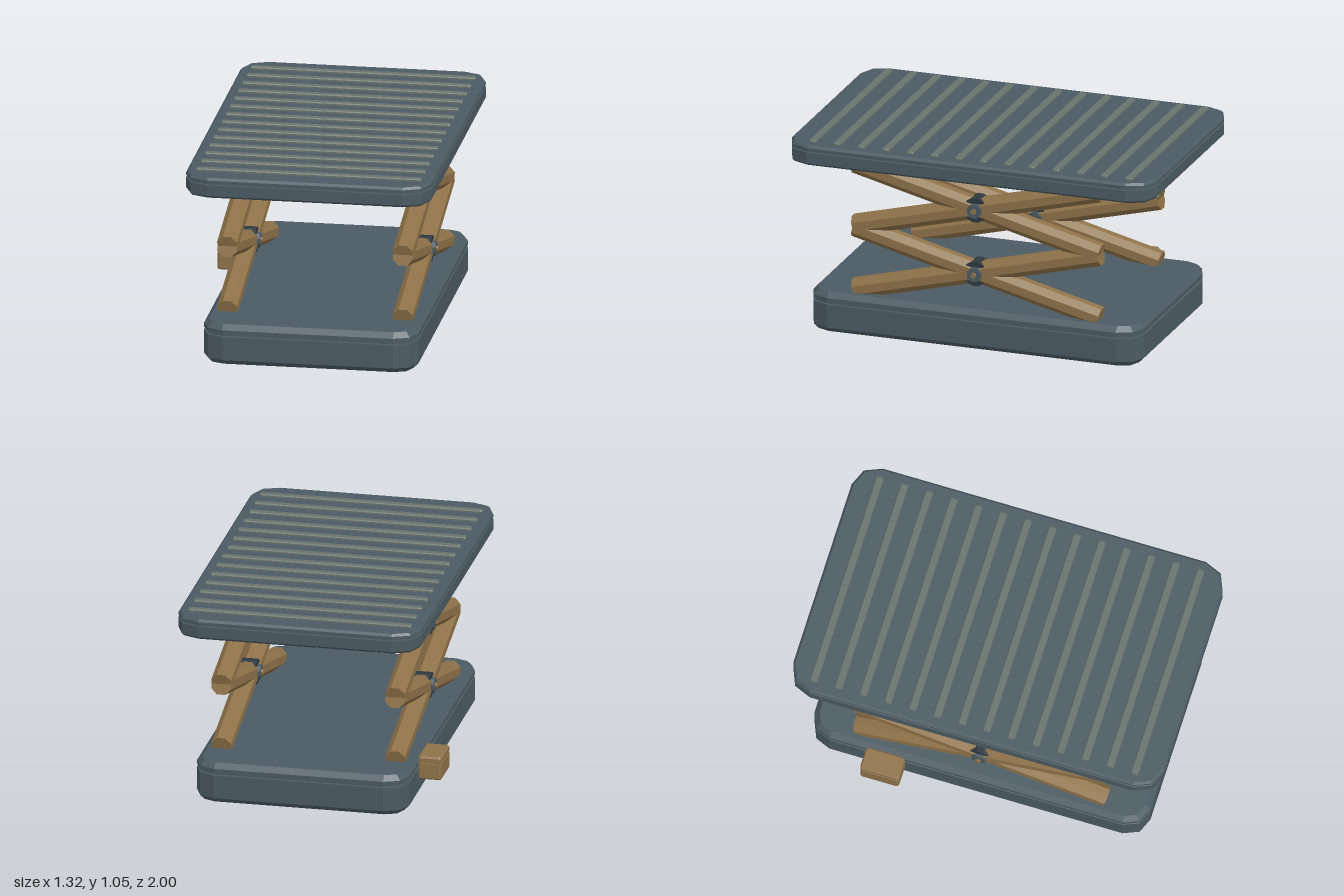
import * as THREE from 'three';

const slate = new THREE.MeshStandardMaterial({ color: 0x4b5b63 });
slate.name = 'slate metal';
const dark = new THREE.MeshStandardMaterial({ color: 0x2c383f });
dark.name = 'dark metal';
const brass = new THREE.MeshStandardMaterial({ color: 0x8f7349 });
brass.name = 'brass';
const grip = new THREE.MeshStandardMaterial({ color: 0x68736d });
grip.name = 'grip strip';

// Faceted normals for low-poly parts
function faceted(geometry) {
  const g = geometry.index ? geometry.toNonIndexed() : geometry;
  g.computeVertexNormals();
  return g;
}

// Slab with cut corners; levels are [height, inset] from bottom to top
function slabGeometry(halfX, halfZ, radius, levels) {
  const pos = [], index = [], n = 12;
  for (const [y, inset] of levels) {
    const r = radius - inset;
    for (let q = 0; q < 4; q++) {
      const sx = q === 0 || q === 3 ? 1 : -1, sz = q < 2 ? 1 : -1;
      for (let k = 0; k < 3; k++) {
        const a = q * Math.PI / 2 + k * Math.PI / 4;
        pos.push(sx * (halfX - radius) + r * Math.cos(a), y, sz * (halfZ - radius) + r * Math.sin(a));
      }
    }
  }
  for (let l = 0; l < levels.length - 1; l++) {
    for (let i = 0; i < n; i++) {
      const a = l * n + i, b = l * n + (i + 1) % n;
      index.push(a, a + n, b + n, a, b + n, b);
    }
  }
  const top = (levels.length - 1) * n;
  for (let i = 1; i < n - 1; i++) {
    index.push(0, i, i + 1, top, top + i + 1, top + i);
  }
  const g = new THREE.BufferGeometry();
  g.setAttribute('position', new THREE.Float32BufferAttribute(pos, 3));
  g.setIndex(index);
  return faceted(g);
}

export function createModel() {
  const model = new THREE.Group();
  model.name = 'scissorLift';
  const midX = 0.02;

  function add(name, geometry, material, x = 0, y = 0, z = 0, parent = model) {
    const mesh = new THREE.Mesh(geometry, material);
    mesh.name = name;
    mesh.position.set(x, y, z);
    parent.add(mesh);
    return mesh;
  }

  // Base with a groove under its rim
  add('base', slabGeometry(0.56, 0.905, 0.115, [
    [0, 0.027], [0.027, 0], [0.153, 0], [0.155, 0.012],
    [0.165, 0.012], [0.167, 0], [0.188, 0], [0.215, 0.028],
  ]), slate, midX);

  // Platform with a groove under its rim
  add('platform', slabGeometry(0.64, 1, 0.13, [
    [0.93, 0.012], [0.942, 0], [1.0, 0], [1.002, 0.01],
    [1.009, 0.01], [1.011, 0], [1.025, 0], [1.037, 0.012],
  ]), slate, midX);

  // Grip strips across the platform
  const stripGeometry = slabGeometry(0.587, 0.02, 0.008, [[0, 0], [0.01, 0], [0.015, 0.004]]);
  for (let i = 0; i < 14; i++) {
    add('gripStrip', stripGeometry, grip, midX, 1.035, -0.868 + i * 0.133);
  }

  // Scissor arms: two crossed pairs on each side
  const reach = 0.671, rise = 0.17, tilt = Math.atan2(rise, reach);
  const armGeometry = new THREE.CylinderGeometry(0.0562, 0.0562, 2 * Math.hypot(reach, rise), 8);
  armGeometry.rotateY(Math.PI / 8);
  const arm = faceted(armGeometry);
  const pivot = (radius, length, sides) => {
    const g = new THREE.CylinderGeometry(radius, radius, length, sides);
    g.rotateY(Math.PI / sides);
    return faceted(g.rotateZ(Math.PI / 2));
  };
  const collar = pivot(0.067, 0.09, 12);
  const washer = pivot(0.04, 0.13, 8);
  const pin = pivot(0.015, 0.152, 8);

  for (const side of [-1, 1]) {
    const scissor = new THREE.Group();
    scissor.name = side > 0 ? 'leftScissor' : 'rightScissor';
    scissor.position.x = midX + side * 0.458;
    model.add(scissor);
    for (const y of [0.395, 0.742]) {
      for (const slope of [-1, 1]) {
        add('scissorArm', arm, brass, 0, y, 0, scissor).rotation.x = slope * (Math.PI / 2 - tilt);
      }
      add('pivotCollar', collar, dark, 0, y, 0, scissor);
      add('pivotWasher', washer, slate, 0, y, 0, scissor);
      add('pivotPin', pin, brass, 0, y, 0, scissor);
    }
  }

  // Control box on the side of the base
  add('controlBox', slabGeometry(0.062, 0.105, 0.014, [
    [0.098, 0.007], [0.105, 0], [0.185, 0], [0.187, 0.004],
    [0.191, 0.004], [0.193, 0], [0.213, 0], [0.221, 0.008],
  ]), brass, -0.601, 0, -0.485);

  return model;
}
